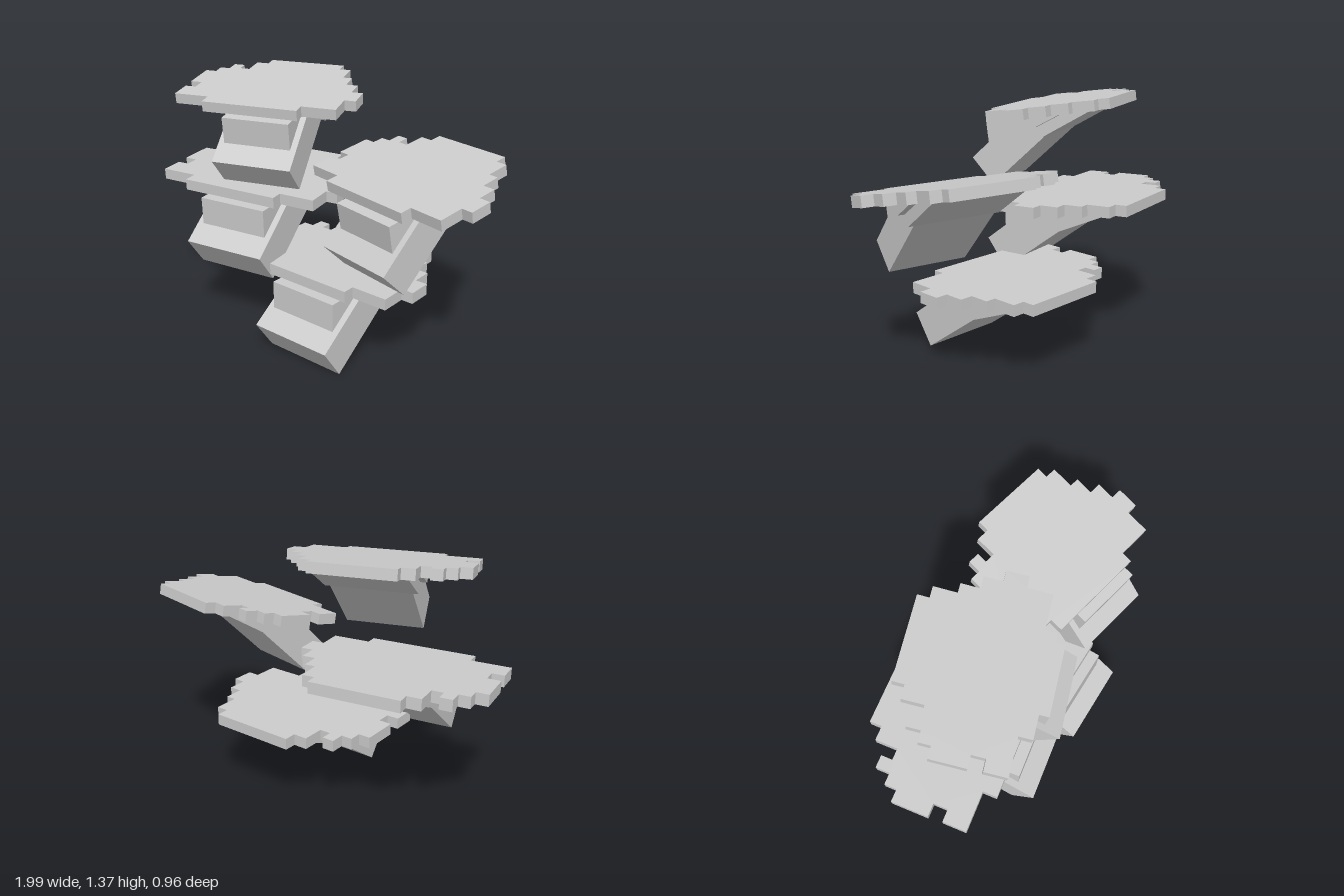
import * as THREE from 'three';

const mat = new THREE.MeshStandardMaterial({ color: 0xcccccc, flatShading: true });

// Stepped outline of the cap as [x, z], running around from the back right corner
const CAP = [
  [0.235, -0.435], [0.235, -0.37], [0.3, -0.37], [0.3, -0.24], [0.355, -0.24], [0.355, -0.135],
  [0.425, -0.135], [0.425, -0.03], [0.49, -0.03], [0.49, 0.095], [0.425, 0.095], [0.425, 0.235],
  [0.225, 0.235], [0.225, 0.3], [-0.345, 0.3], [-0.345, 0.225], [-0.555, 0.225], [-0.555, 0.1],
  [-0.49, 0.1], [-0.49, 0.025], [-0.56, 0.025], [-0.56, -0.17], [-0.495, -0.17], [-0.495, -0.235],
  [-0.435, -0.235], [-0.435, -0.31], [-0.37, -0.31], [-0.37, -0.25], [-0.31, -0.25], [-0.31, -0.37],
  [-0.235, -0.37], [-0.235, -0.435],
];

function addMesh(group, name, geometry) {
  const mesh = new THREE.Mesh(geometry, mat);
  mesh.name = name;
  group.add(mesh);
}

function extrude(points, depth) {
  const shape = new THREE.Shape(points.map(([a, b]) => new THREE.Vector2(a, b)));
  return new THREE.ExtrudeGeometry(shape, { depth, bevelEnabled: false });
}

// Side profile as [z, y], extruded symmetrically across x
function sideProfile(points, width) {
  return extrude(points, width).rotateY(-Math.PI / 2).translate(width / 2, 0, 0);
}

function createShelf(name) {
  const shelf = new THREE.Group();
  shelf.name = name;

  // Flat cap with a stepped rim
  const cap = extrude(CAP.map(([x, z]) => [x, -z]), 0.06);
  addMesh(shelf, 'cap', cap.rotateX(-Math.PI / 2).translate(0, 0.39, 0));

  // Slanted stem
  addMesh(shelf, 'stem', sideProfile(
    [[0.462, 0.168], [0.347, 0.003], [-0.024, 0.265], [0.03, 0.392], [0.15, 0.392]], 0.466));

  // Front block between stem and cap
  addMesh(shelf, 'neck', new THREE.BoxGeometry(0.396, 0.17, 0.26).translate(0, 0.307, 0.23));

  // Wedges carrying the back of the cap
  addMesh(shelf, 'rearWedge', sideProfile(
    [[-0.024, 0.265], [-0.33, 0.392], [0.03, 0.392]], 0.526));
  addMesh(shelf, 'wideWedge', sideProfile(
    [[0, 0.327], [-0.17, 0.392], [0.03, 0.392]], 0.6));
  return shelf;
}

export function createModel() {
  const model = new THREE.Group();
  model.name = 'shelfCluster';

  // name, position, yaw, pitch (degrees), scale
  const shelves = [
    ['lowerShelf', [0.147, 0, 0], 0, 0, 1],
    ['rightShelf', [-0.423, 0.361, -0.026], 10, 2, 1],
    ['leftShelf', [0.55, 0.585, -0.096], -12, 10.5, 0.94],
    ['upperShelf', [-0.29, 0.918, -0.009], 19, 7.5, 0.91],
  ];
  for (const [name, position, yaw, pitch, scale] of shelves) {
    const shelf = createShelf(name);
    shelf.position.set(...position);
    shelf.rotation.set(
      THREE.MathUtils.degToRad(pitch), THREE.MathUtils.degToRad(yaw), 0, 'YXZ');
    shelf.scale.setScalar(scale);
    model.add(shelf);
  }
  return model;
}
